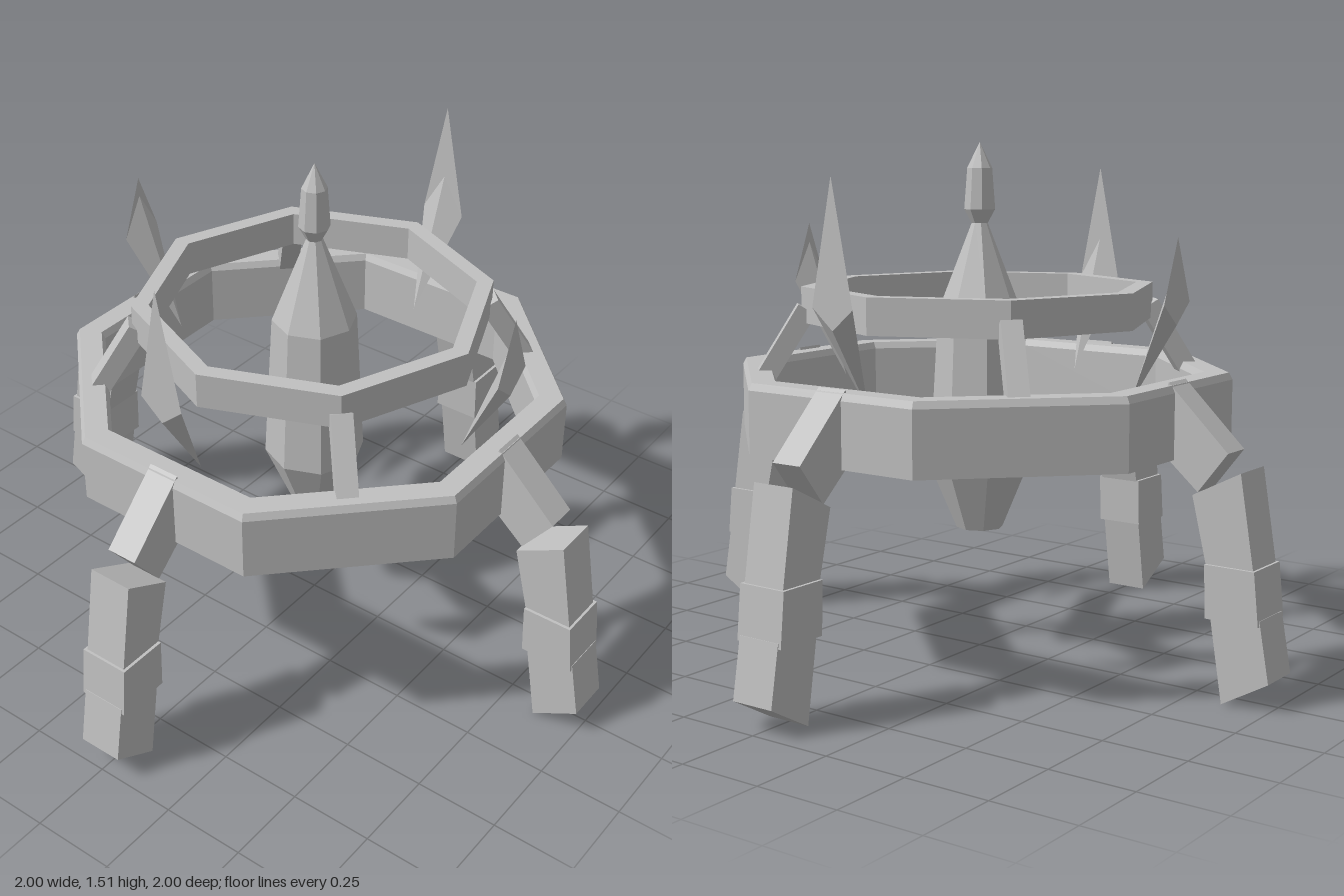
import * as THREE from 'three';

const metal = new THREE.MeshStandardMaterial({ color: 0xc0c0c0, flatShading: true, side: THREE.DoubleSide });
metal.name = 'plain grey';

function add(parent, name, geometry) {
  const mesh = new THREE.Mesh(geometry, metal);
  mesh.name = name;
  parent.add(mesh);
  return mesh;
}

// Eight-sided turned solid from [radius, y] points, listed upward on the outside
function turned(points, start = 0) {
  return new THREE.LatheGeometry(points.map(([r, y]) => new THREE.Vector2(r, y)), 8, start);
}

// Side profile in [radius, y], thickened evenly to both sides
function slab(points, halfWidth) {
  const shape = new THREE.Shape(points.map(([r, y]) => new THREE.Vector2(r, y)));
  const geo = new THREE.ExtrudeGeometry(shape, { depth: 2 * halfWidth, bevelEnabled: false });
  return geo.translate(0, 0, -halfWidth);
}

// Spike: a point low inside, opening to an upright kite blade on the outside
function spike(bladeTop) {
  const r = 0.665;
  const foot = [0.52, 0.79, 0], crest = [r, 1.2, 0], tip = [r, bladeTop, 0];
  const low = [r, 1.02, 0], a = [r, 1.08, 0.07], b = [r, 1.08, -0.07];
  const faces = [
    [tip, a, low], [tip, low, b],
    [foot, a, crest], [foot, crest, b],
    [foot, low, a], [foot, b, low],
  ];
  const geo = new THREE.BufferGeometry();
  geo.setAttribute('position', new THREE.Float32BufferAttribute(faces.flat(2), 3));
  geo.computeVertexNormals();
  return geo;
}

export function createModel() {
  const model = new THREE.Group();
  model.name = 'ringed tower';

  // Lower ring, flat sides facing the legs, with a small chamfer on top
  const k = 1 / Math.cos(Math.PI / 8);
  add(model, 'lowerRing', turned([
    [0.605, 0.655], [0.69, 0.655], [0.69, 0.84], [0.68, 0.86],
    [0.615, 0.86], [0.605, 0.84], [0.605, 0.655],
  ].map(([r, y]) => [r * k, y]), Math.PI / 8));

  // Upper ring, corners above the legs
  add(model, 'upperRing', turned([
    [0.475, 0.995], [0.525, 0.995], [0.525, 1.1], [0.475, 1.1], [0.475, 0.995],
  ]));

  // Central spindle and its tip
  add(model, 'spindle', turned([
    [0, 0.37], [0.07, 0.37], [0.15, 0.56], [0.125, 1.02], [0.022, 1.285], [0, 1.285],
  ]));
  add(model, 'spindleTip', turned([
    [0, 1.28], [0.024, 1.28], [0.046, 1.32], [0.037, 1.44], [0, 1.515],
  ]));

  for (let i = 0; i < 4; i++) {
    const angle = i * Math.PI / 2;

    // Jointed leg
    const leg = new THREE.Group();
    leg.name = 'leg';
    leg.rotation.y = angle;
    add(leg, 'shoulder', slab([[0.67, 0.868], [0.855, 0.69], [0.765, 0.575], [0.62, 0.7]], 0.047));
    add(leg, 'thigh', slab([[0.905, 0.645], [0.765, 0.57], [0.81, 0.37], [0.95, 0.37]].map(([r, y]) => [r, y]), 0.067));
    leg.children[1].geometry = slab([[0.76, 0.57], [0.905, 0.645], [0.95, 0.37], [0.808, 0.37]].reverse(), 0.067);
    add(leg, 'knee', slab([[0.805, 0.385], [0.955, 0.385], [0.97, 0.235], [0.81, 0.235]], 0.076));
    add(leg, 'foot', slab([[0.82, 0.25], [0.97, 0.25], [1, 0.08], [0.86, 0]], 0.067));

    // Spike above the leg, taller on the left and right
    add(leg, 'spike', spike(i % 2 ? 1.26 : 1.43));
    model.add(leg);

    // Slanted strut joining the two rings
    const strut = add(model, 'strut',
      slab([[0.665, 0.84], [0.535, 1.05], [0.485, 1.02], [0.605, 0.83]], 0.03));
    strut.rotation.y = angle + Math.PI / 4;
  }
  return model;
}
